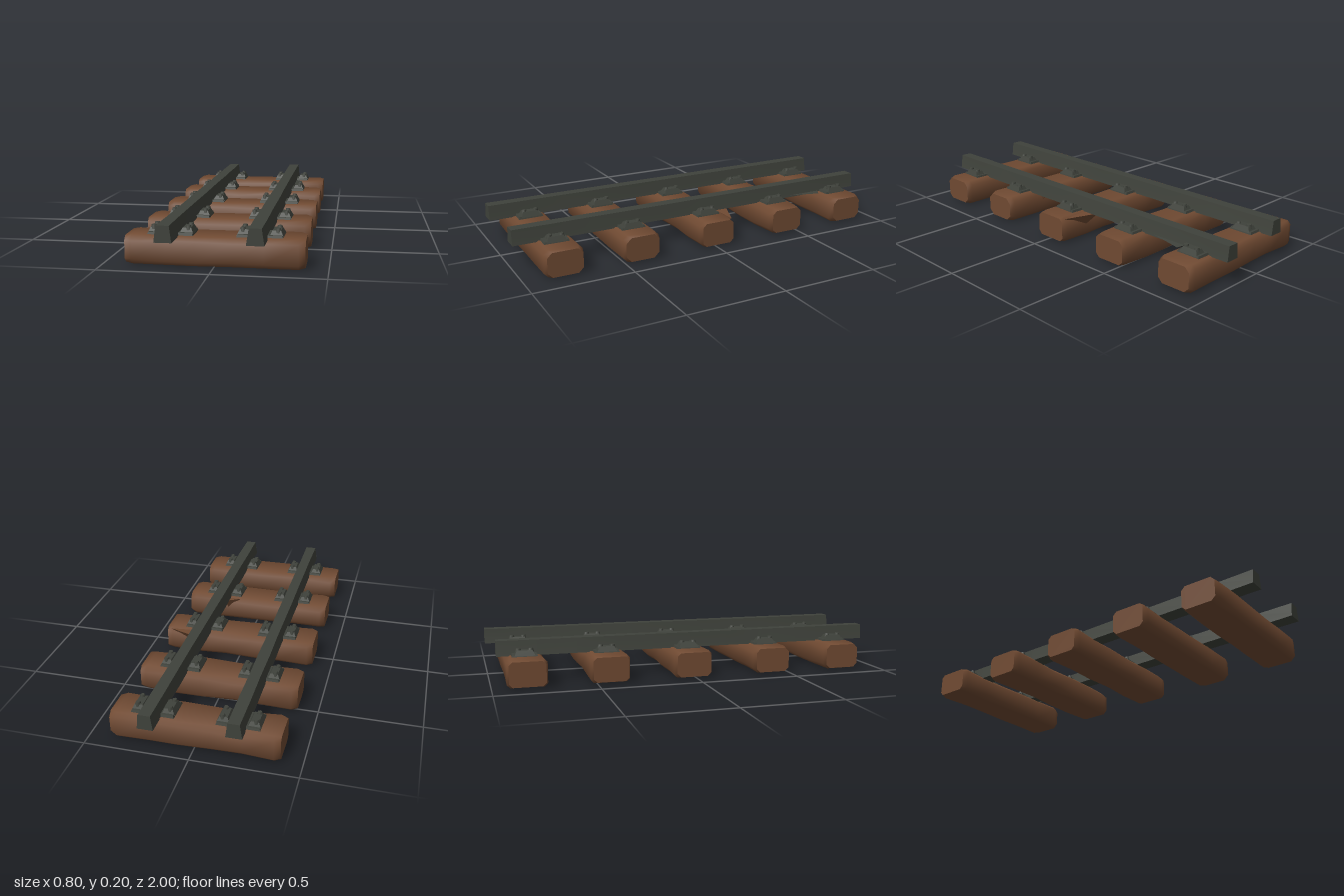
import * as THREE from 'three';
import { toCreasedNormals } from 'three/addons/utils/BufferGeometryUtils.js';

const wood = new THREE.MeshStandardMaterial({ color: 0x704a32 });
wood.name = 'weathered wood';
const iron = new THREE.MeshStandardMaterial({ color: 0x3f423b });
iron.name = 'dark iron';

// small repeatable wobble between -1 and 1
function seeded(seed) {
  let s = seed * 7919 + 17;
  return () => {
    s = (s * 16807) % 2147483647;
    return (s / 2147483647) * 2 - 1;
  };
}

// closed skin over rings of points, each ring counter-clockwise seen from its far end
function loft(rings, crease) {
  const n = rings[0].length;
  const pos = rings.flat(2);
  const index = [];
  for (let i = 0; i < rings.length - 1; i++) {
    for (let j = 0; j < n; j++) {
      const a = i * n + j, b = i * n + ((j + 1) % n);
      index.push(a, b, b + n, a, b + n, a + n);
    }
  }
  const last = (rings.length - 1) * n;
  for (let j = 1; j < n - 1; j++) {
    index.push(0, j + 1, j, last, last + j, last + j + 1);
  }
  const g = new THREE.BufferGeometry();
  g.setAttribute('position', new THREE.Float32BufferAttribute(pos, 3));
  g.setIndex(index);
  return toCreasedNormals(g, crease);
}

function add(parent, name, geometry, material, x = 0, y = 0, z = 0) {
  const m = new THREE.Mesh(geometry, material);
  m.name = name;
  m.position.set(x, y, z);
  parent.add(m);
  return m;
}

// worn beam along x with chamfered edges and a shallow dip in the middle
function sleeperGeometry(seed) {
  const rnd = seeded(seed);
  const xs = [-0.4, -0.37, -0.22, -0.08, 0.08, 0.22, 0.37, 0.4];
  const rings = xs.map((x, i) => {
    const end = i === 0 || i === xs.length - 1;
    const top = end ? 0.13 : 0.136 - 0.004 * (1 - Math.abs(x) / 0.4) + rnd() * 0.001;
    const bottom = end ? 0.008 : 0.001 + rnd() * 0.001;
    const half = end ? 0.088 : 0.096 + rnd() * 0.002;
    const c = 0.022 + rnd() * 0.006;
    return [
      [-half + c, bottom], [-half, bottom + c], [-half, top - c], [-half + c, top],
      [half - c, top], [half, top - c], [half, bottom + c], [half - c, bottom],
    ].map(([z, y]) => [x, y, z]).reverse();
  });
  // orient the rings so the skin faces outward
  return loft(rings.map((r) => r.slice().reverse()).reverse(), 0.95);
}

// rail along z with a tapered section and slightly uneven foot
function railGeometry(z0, z1, seed) {
  const rnd = seeded(seed);
  const rings = [];
  for (let i = 0; i <= 10; i++) {
    const w = 0.039 + rnd() * 0.002;
    const t = 0.028 + rnd() * 0.0015;
    const z = z0 + ((z1 - z0) * i) / 10;
    rings.push([[-w, 0.13, z], [w, 0.13, z], [w - 0.003, 0.146, z],
      [t, 0.205, z], [-t, 0.205, z], [-w + 0.003, 0.146, z]]);
  }
  return loft(rings, 0.5);
}

// box whose top face is shrunk
function taperedBlock(w, h, d, sx, sz) {
  const g = new THREE.BoxGeometry(w, h, d);
  const p = g.attributes.position;
  for (let i = 0; i < p.count; i++) {
    if (p.getY(i) > 0) p.setXYZ(i, p.getX(i) * sx, p.getY(i), p.getZ(i) * sz);
  }
  g.computeVertexNormals();
  return g;
}

// tapering splinter: flat triangle on top narrowing to a point below
function wedge(a, b, c, low) {
  const g = new THREE.BufferGeometry();
  const v = [a, b, c, a, c, low, c, b, low, b, a, low];
  g.setAttribute('position', new THREE.Float32BufferAttribute(v.flat(), 3));
  g.computeVertexNormals();
  return g;
}

export function createModel() {
  const model = new THREE.Group();
  model.name = 'railwayTrack';
  const plate = taperedBlock(0.215, 0.026, 0.135, 0.92, 0.88);
  const clip = taperedBlock(0.062, 0.026, 0.1, 0.6, 0.75);
  const bolt = new THREE.CylinderGeometry(0.011, 0.016, 0.02, 6);

  [-0.832, -0.432, -0.012, 0.41, 0.803].forEach((z, i) => {
    const rnd = seeded(i + 5);
    const sleeper = new THREE.Group();
    sleeper.name = 'sleeper' + (i + 1);
    sleeper.position.z = z;
    model.add(sleeper);
    add(sleeper, 'woodenBeam', sleeperGeometry(i + 1), wood);

    // iron seat with clips and bolts under each rail
    for (const side of [-1, 1]) {
      const seat = new THREE.Group();
      seat.name = side > 0 ? 'leftRailSeat' : 'rightRailSeat';
      seat.position.x = side * 0.2;
      seat.rotation.y = rnd() * 0.04;
      sleeper.add(seat);
      add(seat, 'basePlate', plate, iron, 0, 0.132, 0);
      for (const s of [-1, 1]) {
        add(seat, 'clip', clip, iron, s * 0.072, 0.152, 0);
        for (const k of [-1, 1]) {
          const b = add(seat, 'bolt', bolt, iron, s * 0.078, 0.164, k * 0.03);
          b.rotation.z = rnd() * 0.12;
        }
      }
    }
  });

  // the right-hand rail stops short at the back
  add(model, 'leftRail', railGeometry(-1, 1, 21), iron, 0.197);
  add(model, 'rightRail', railGeometry(-0.965, 1, 22), iron, -0.199);

  // worn splinters reaching out from the beams beside the left rail
  wood.side = iron.side = THREE.DoubleSide;
  add(model, 'middleSplinter',
    wedge([0.21, 0.131, -0.165], [0.2, 0.131, -0.09], [0.38, 0.128, -0.1], [0.24, 0.06, -0.1]), wood);
  add(model, 'frontSplinter',
    wedge([0.17, 0.131, 0.285], [0.1, 0.131, 0.325], [0.21, 0.131, 0.325], [0.17, 0.06, 0.322]), wood);
  add(model, 'railBurr',
    wedge([0.23, 0.14, -0.54], [0.225, 0.14, -0.76], [0.268, 0.134, -0.74], [0.23, 0.125, -0.74]), iron);
  return model;
}
